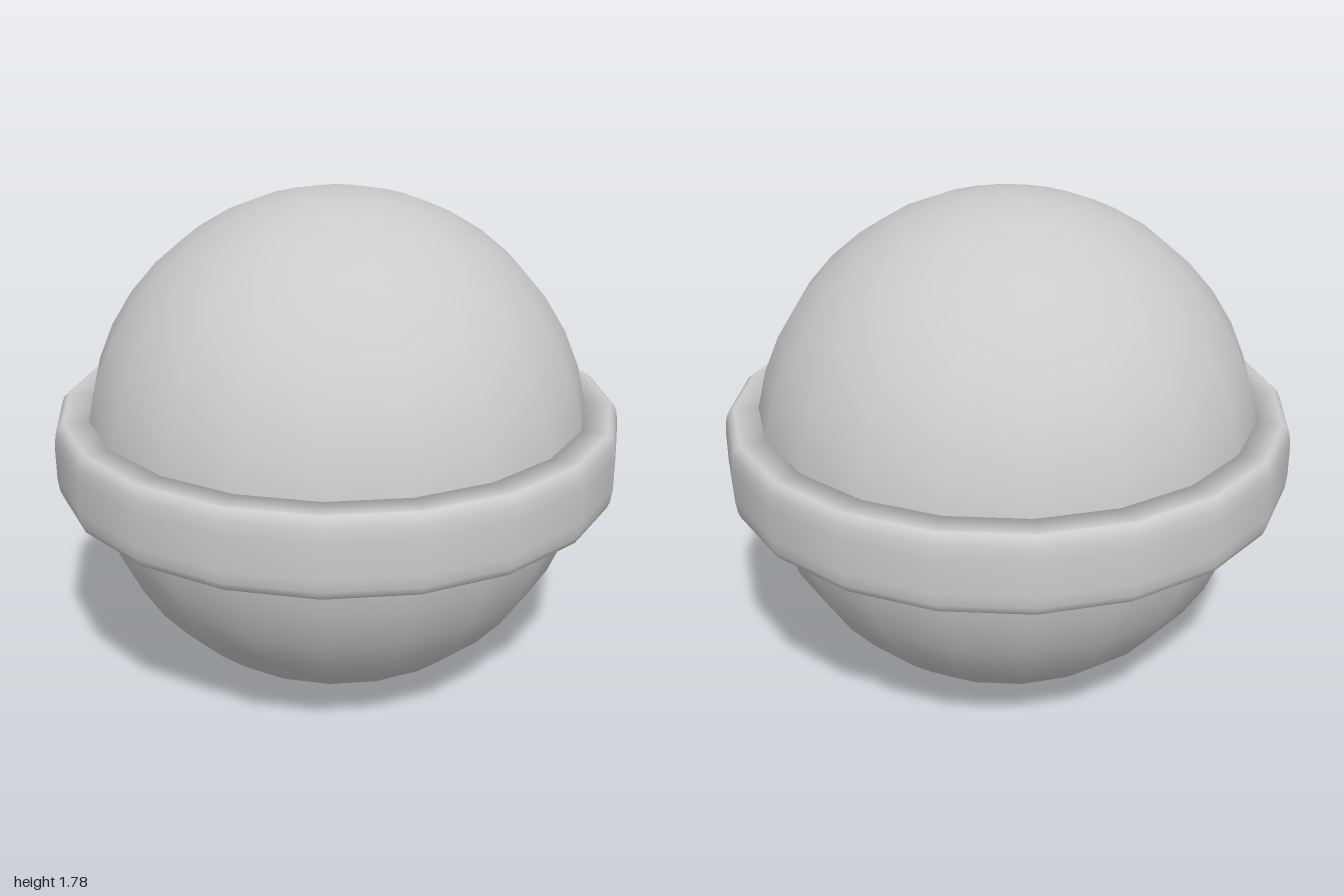
import * as THREE from 'three';

const SIDES = 20;
const RADIUS = 0.89;

export function createModel() {
  const model = new THREE.Group();
  const material = new THREE.MeshStandardMaterial({ color: 0xcccccc });

  // Smooth ball resting on the ground
  const ball = new THREE.Mesh(new THREE.SphereGeometry(RADIUS, SIDES, SIDES), material);
  ball.name = 'ball';
  ball.position.y = RADIUS;
  model.add(ball);

  // Band around the middle: flat top and bottom, softly rounded outer edge
  const half = [[1, 0.06], [0.994, 0.105], [0.985, 0.128], [0.972, 0.139], [0.968, 0.14], [0.85, 0.14]];
  const profile = [
    ...half.map(([r, y]) => new THREE.Vector2(r, -y)).reverse(),
    ...half.map(([r, y]) => new THREE.Vector2(r, y)),
  ];
  profile.push(profile[0].clone());
  const band = new THREE.Mesh(new THREE.LatheGeometry(profile, SIDES), material);
  band.name = 'equatorBand';
  band.position.y = RADIUS;
  model.add(band);

  return model;
}
